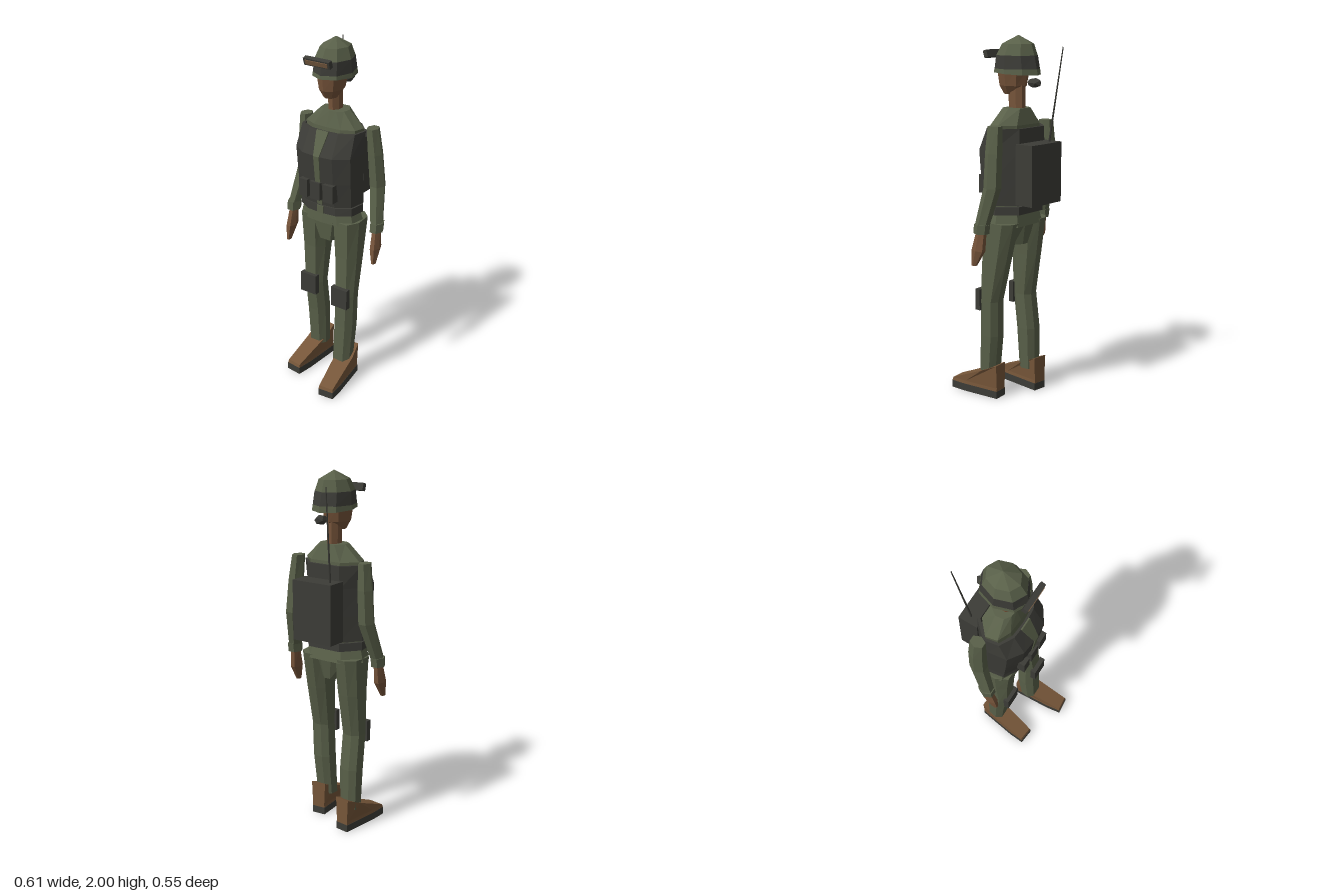
import * as THREE from 'three';

const mat = (name, color) => {
  const m = new THREE.MeshStandardMaterial({ color });
  m.name = name;
  return m;
};

// regular n-sided cross-section, running from +z towards +x
const poly = (n, phase = 0) => Array.from({ length: n }, (_, i) => {
  const a = ((i + phase) / n) * Math.PI * 2;
  return [Math.sin(a), Math.cos(a)];
});
const RECT = [[1, 1], [1, -1], [-1, -1], [-1, 1]];
const BODY = [[0, 1], [0.5, 0.93], [0.92, 0.55], [1, -0.2], [0.55, -1], [-0.55, -1], [-1, -0.2], [-0.92, 0.55], [-0.5, 0.93]];
const SHOE = [[0.92, 1], [1, 0.4], [0.8, -1], [-0.8, -1], [-1, 0.4], [-0.92, 1]];
const LIMB = [[0.55, 1], [1, 0.35], [0.9, -0.6], [0.3, -1], [-0.3, -1], [-0.9, -0.6], [-1, 0.35], [-0.55, 1]];

// faceted loft through rings [y, centreX, centreZ, radiusX, radiusZ, tilt]
function loft(rings, section, caps = true) {
  const pts = rings.map(([y, cx, cz, rx, rz, tilt = 0]) =>
    section.map(([x, z]) => [cx + x * rx, y + z * rz * tilt, cz + z * rz]));
  const pos = [], n = section.length;
  const tri = (a, b, c) => pos.push(...a, ...b, ...c);
  for (let r = 0; r < pts.length - 1; r++) {
    for (let i = 0; i < n; i++) {
      const j = (i + 1) % n, lo = pts[r], hi = pts[r + 1];
      tri(lo[i], lo[j], hi[j]);
      tri(lo[i], hi[j], hi[i]);
    }
  }
  if (caps) {
    const a = pts[0], b = pts[pts.length - 1];
    for (let i = 1; i < n - 1; i++) {
      tri(a[0], a[i + 1], a[i]);
      tri(b[0], b[i], b[i + 1]);
    }
  }
  const g = new THREE.BufferGeometry();
  g.setAttribute('position', new THREE.Float32BufferAttribute(pos, 3));
  g.computeVertexNormals();
  return g;
}

export function createModel() {
  const root = new THREE.Group();
  root.name = 'soldier';
  const green = mat('olive cloth', 0x596049);
  const dark = mat('dark webbing', 0x3c3c37);
  const skin = mat('skin', 0x76543a);
  const leather = mat('boot leather', 0x765639);
  const lens = mat('goggle lens', 0x765a40);

  const add = (name, geo, m, parent = root) => {
    const mesh = new THREE.Mesh(geo, m);
    mesh.name = name;
    parent.add(mesh);
    return mesh;
  };
  const box = (name, m, x, y, z, w, h, d, parent = root) => {
    const b = add(name, new THREE.BoxGeometry(w, h, d), m, parent);
    b.position.set(x, y, z);
    return b;
  };

  // Legs, knee pads and boots; the left leg steps forward
  const legs = [
    { side: 'left', s: 1, ax: 0.108, az: 0.042, kx: 0.116, kz: 0.018, tx: 0.1, tz: -0.04, hz: -0.042, turn: 0.1 },
    { side: 'right', s: -1, ax: -0.122, az: -0.055, kx: -0.122, kz: -0.02, tx: -0.118, tz: -0.045, hz: -0.135, turn: -0.11 },
  ];
  for (const { side, ax, az, kx, kz, tx, tz, hz, turn } of legs) {
    add(side + 'Leg', loft([
      [0.12, ax, az, 0.056, 0.05],
      [0.36, (ax + kx) / 2, (az + kz) / 2 - 0.008, 0.061, 0.058],
      [0.56, kx, kz, 0.06, 0.058],
      [0.8, (kx + tx) / 2, (kz + tz) / 2 - 0.005, 0.07, 0.08],
      [1.01, tx, tz, 0.08, 0.102],
    ], LIMB), green);
    box(side + 'KneePad', dark, kx, 0.56, kz + 0.064, 0.105, 0.12, 0.032);

    const boot = new THREE.Group();
    boot.name = side + 'Boot';
    boot.position.set(turn > 0 ? 0.115 : -0.117, 0, hz);
    boot.rotation.y = turn;
    root.add(boot);
    add('sole', loft([[0, 0, 0.157, 0.05, 0.157], [0.042, 0, 0.157, 0.05, 0.157]], SHOE), dark, boot);
    add('upper', loft([
      [0.042, 0, 0.157, 0.049, 0.156],
      [0.06, 0, 0.154, 0.047, 0.153],
      [0.165, 0, 0.067, 0.055, 0.066, -0.45],
    ], SHOE), leather, boot);
  }

  // Pelvis and jacket hem
  add('pelvis', loft([
    [0.88, -0.005, -0.03, 0.062, 0.085],
    [1.0, -0.01, -0.035, 0.115, 0.105],
  ], LIMB), green);
  add('jacketHem', loft([
    [0.99, -0.012, -0.035, 0.188, 0.11],
    [1.06, -0.012, -0.03, 0.168, 0.1],
    [1.14, -0.012, -0.03, 0.165, 0.1],
  ], BODY), green);
  add('belt', loft([
    [1.058, -0.01, -0.03, 0.182, 0.122],
    [1.102, -0.01, -0.03, 0.18, 0.12],
  ], BODY), dark);
  box('buckle', green, -0.01, 1.08, 0.092, 0.04, 0.042, 0.008);

  // Vest shell, open at the top around the shirt
  add('vest', loft([
    [1.11, -0.011, -0.03, 0.182, 0.127],
    [1.25, -0.011, -0.02, 0.187, 0.136],
    [1.4, -0.011, -0.013, 0.19, 0.143],
    [1.52, -0.011, -0.045, 0.183, 0.11],
    [1.52, -0.011, -0.045, 0.168, 0.096],
    [1.46, -0.011, -0.045, 0.165, 0.094],
  ], BODY), dark);
  add('frontPlacket', loft([
    [1.112, -0.008, 0.096, 0.016, 0.004],
    [1.25, -0.008, 0.115, 0.016, 0.004],
    [1.4, -0.008, 0.129, 0.018, 0.004],
    [1.523, -0.011, 0.065, 0.038, 0.004],
  ], RECT), green);
  for (const [x, w] of [[-0.095, 0.052], [-0.018, 0.064], [0.066, 0.064]])
    box('pouch', dark, x, 1.2, 0.108, w, 0.1, 0.046);

  // Shirt shoulders, collar and neck
  add('shirt', loft([
    [1.44, -0.008, -0.045, 0.16, 0.09],
    [1.535, -0.008, -0.048, 0.17, 0.085],
    [1.62, -0.006, -0.05, 0.08, 0.062],
  ], BODY), green);
  add('neck', loft([
    [1.58, -0.01, -0.052, 0.036, 0.05],
    [1.74, -0.01, -0.05, 0.038, 0.052],
  ], poly(8, 0.5)), skin);

  // Arms and hands: [x, z] at hand tip, wrist, elbow and shoulder
  const arms = [
    ['left', [0.28, 0.0], [0.268, -0.042], [0.236, -0.093], [0.205, -0.085]],
    ['right', [-0.272, 0.035], [-0.268, -0.012], [-0.235, -0.08], [-0.222, -0.08]],
  ];
  for (const [side, tip, wrist, elbow, shoulder] of arms) {
    add(side + 'Sleeve', loft([
      [1.0, ...wrist, 0.034, 0.042],
      [1.22, ...elbow, 0.044, 0.05],
      [1.4, (elbow[0] + shoulder[0]) / 2, shoulder[1] - 0.004, 0.042, 0.048],
      [1.54, ...shoulder, 0.033, 0.042],
    ], poly(6, 0.5)), green);
    add(side + 'Cuff', loft([
      [0.975, ...wrist, 0.038, 0.046],
      [1.025, wrist[0], wrist[1] - 0.006, 0.038, 0.047],
    ], poly(6, 0.5)), green);
    add(side + 'Hand', loft([
      [0.795, ...tip, 0.012, 0.018],
      [0.88, (tip[0] + wrist[0]) / 2, (tip[1] + wrist[1]) / 2 - 0.005, 0.026, 0.044],
      [0.98, ...wrist, 0.022, 0.032],
    ], poly(6, 0.5)), skin);
  }

  // Head and hair bun
  add('head', loft([
    [1.69, -0.011, -0.012, 0.035, 0.045],
    [1.735, -0.011, -0.022, 0.062, 0.082],
    [1.82, -0.011, -0.025, 0.078, 0.095],
    [1.88, -0.011, -0.03, 0.076, 0.095],
  ], poly(8)), skin);
  const bun = add('hairBun', new THREE.IcosahedronGeometry(1, 0), dark);
  bun.scale.set(0.03, 0.028, 0.047);
  bun.position.set(-0.01, 1.755, -0.17);

  // Helmet: rim, dark band, faceted dome
  const H = poly(8);
  add('helmetRim', loft([
    [1.8, -0.012, -0.05, 0.108, 0.14, 0.05],
    [1.825, -0.012, -0.05, 0.105, 0.135],
  ], H), green);
  add('helmetBand', loft([
    [1.825, -0.012, -0.05, 0.105, 0.134],
    [1.895, -0.012, -0.048, 0.1, 0.12],
  ], H), dark);
  add('helmetDome', loft([
    [1.895, -0.012, -0.048, 0.099, 0.119],
    [1.955, -0.012, -0.055, 0.076, 0.092],
    [1.999, -0.012, -0.058, 0.002, 0.002],
  ], H), green);

  // Goggles raised on the helmet front
  const goggles = new THREE.Group();
  goggles.name = 'goggles';
  goggles.position.set(-0.011, 1.9, 0.105);
  goggles.rotation.x = 0.3;
  root.add(goggles);
  box('frame', dark, 0, 0, 0, 0.16, 0.04, 0.026, goggles);
  box('lens', lens, 0, 0, 0.014, 0.136, 0.024, 0.006, goggles);

  // Radio pack with whip antenna
  box('radioPack', dark, -0.01, 1.28, -0.203, 0.244, 0.325, 0.112);
  const from = new THREE.Vector3(-0.092, 1.43, -0.205), to = new THREE.Vector3(-0.117, 1.94, -0.274);
  const dir = to.clone().sub(from);
  const antenna = add('antenna', new THREE.CylinderGeometry(0.003, 0.006, dir.length(), 5), dark);
  antenna.position.copy(from).addScaledVector(dir, 0.5);
  antenna.quaternion.setFromUnitVectors(new THREE.Vector3(0, 1, 0), dir.normalize());

  return root;
}
